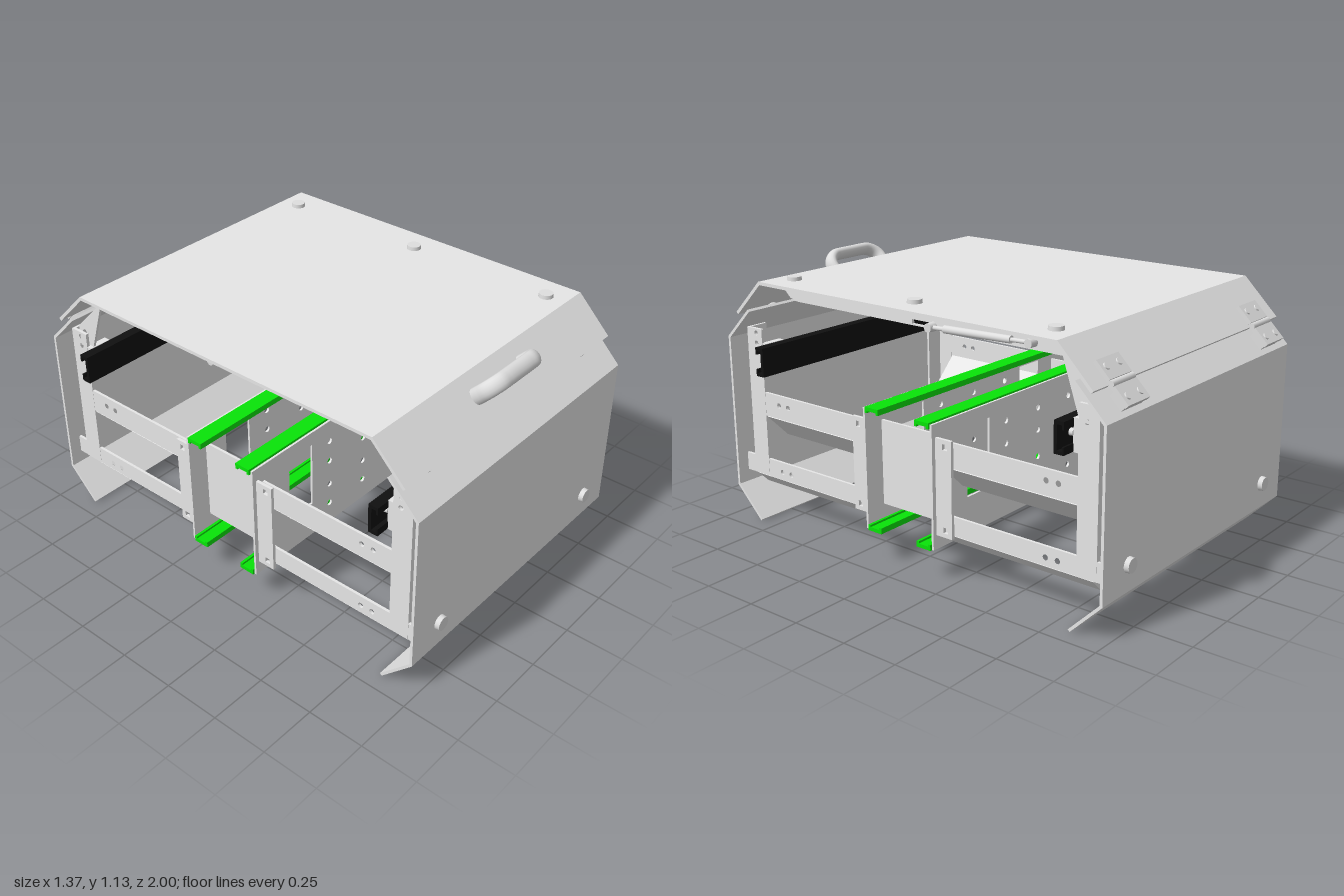
import * as THREE from 'three';

const sheet = new THREE.MeshStandardMaterial({ name: 'light grey sheet', color: 0xe6e6e6 });
const metal = new THREE.MeshStandardMaterial({ name: 'grey fittings', color: 0xdedede });
const black = new THREE.MeshStandardMaterial({ name: 'black slides', color: 0x101010 });
const green = new THREE.MeshStandardMaterial({ name: 'green rails', color: 0x08e408 });

export function createModel() {
  const model = new THREE.Group();
  model.name = 'cabinet';

  function add(geo, mat, name, parent = model) {
    const m = new THREE.Mesh(geo, mat);
    m.name = name;
    parent.add(m);
    return m;
  }
  function box(name, mat, size, pos, parent = model) {
    const m = add(new THREE.BoxGeometry(...size), mat, name, parent);
    m.position.set(...pos);
    return m;
  }
  // disc whose axis follows the given direction
  function bolt(name, r, h, pos, dir, parent = model) {
    const m = add(new THREE.CylinderGeometry(r * 0.92, r, h, 24), metal, name, parent);
    m.position.set(...pos);
    m.quaternion.setFromUnitVectors(new THREE.Vector3(0, 1, 0), new THREE.Vector3(...dir).normalize());
    return m;
  }
  const toShape = pts => new THREE.Shape(pts.map(p => new THREE.Vector2(...p)));
  const rect = (a, b, c, d) => [[a, b], [c, b], [c, d], [a, d]];
  const rectHole = (...r) => new THREE.Path(rect(...r).map(p => new THREE.Vector2(...p)));
  function circle(x, y, r) {
    const p = new THREE.Path();
    p.absarc(x, y, r, 0, Math.PI * 2, true);
    return p;
  }
  // plate in the z-y plane, centred on x
  function sidePlate(name, pts, x, t, holes = []) {
    const s = toShape(pts);
    s.holes.push(...holes);
    const g = new THREE.ExtrudeGeometry(s, { depth: t, bevelEnabled: false, curveSegments: 8 });
    g.rotateY(-Math.PI / 2).translate(x + t / 2, 0, 0);
    return add(g, sheet, name);
  }
  // outline of a bent sheet following a polyline, with mitred corners
  function ribbon(pts, t) {
    const v = pts.map(p => new THREE.Vector2(...p));
    const dir = i => v[i + 1].clone().sub(v[i]).normalize();
    const inner = v.map((p, i) => {
      const a = dir(Math.max(i - 1, 0)), b = dir(Math.min(i, v.length - 2));
      const n = new THREE.Vector2(-a.y - b.y, a.x + b.x).normalize();
      const k = t / (-n.x * a.y + n.y * a.x);
      return [p.x + n.x * k, p.y + n.y * k];
    });
    return [...pts, ...inner.reverse()];
  }

  // outer shell: bent lid, front panel and back panel
  sidePlate('lid', ribbon([[-0.92, 0.935], [-0.765, 1.09], [0.765, 1.09], [0.915, 0.94]], -0.014), 0, 1.36);
  const panel = [[0.838, 0], [0.978, 0.14], [0.978, 0.825], [0.843, 0.96]];
  sidePlate('frontPanel', ribbon(panel, 0.012), 0, 1.36);
  sidePlate('backPanel', ribbon(panel.map(([z, y]) => [-z, y]), -0.012), 0, 1.36);

  // buttons on the shell
  for (const z of [-0.675, 0, 0.675]) bolt('lidButton', 0.032, 0.022, [0.56, 1.095, z], [0, 1, 0]);
  for (const x of [-0.515, 0.515]) {
    for (const s of [1, -1]) bolt('panelButton', 0.032, 0.022, [x, 0.25, s * 0.987], [0, 0, s]);
    bolt('latchStud', 0.028, 0.02, [x, 0.934, 0.878], [0, 1, 1]);
  }

  // flat-sided carrying handle, standing square to the front slope
  const handle = new THREE.Group();
  handle.name = 'handle';
  handle.position.set(0, 1.022, 0.832);
  handle.rotation.x = Math.PI / 4;
  model.add(handle);
  const path = new THREE.CatmullRomCurve3([[-0.153, 0], [-0.153, 0.03], [-0.15, 0.06], [-0.135, 0.085], [-0.105, 0.104],
    [-0.07, 0.107], [0, 0.107], [0.07, 0.107], [0.105, 0.104], [0.135, 0.085], [0.15, 0.06], [0.153, 0.03], [0.153, 0]]
    .map(([x, y]) => new THREE.Vector3(x, y, 0)), false, 'centripetal');
  add(new THREE.TubeGeometry(path, 48, 0.024, 16), metal, 'handleBar', handle).scale.z = 1.45;
  for (const x of [-0.153, 0.153])
    add(new THREE.CylinderGeometry(0.024, 0.024, 0.02, 16), metal, 'handleFoot', handle)
      .translateX(x).translateY(-0.003).scale.z = 1.45;

  // two hinges lying on the back slope
  for (const x of [-0.515, 0.515]) {
    const h = new THREE.Group();
    h.name = 'hinge';
    h.position.set(x, 0.939, -0.926);
    h.rotation.x = -Math.PI / 4;
    model.add(h);
    for (const s of [-1, 1]) {
      box('hingeLeaf', metal, [0.14, 0.02, 0.085], [0, 0, s * 0.056], h);
      for (const k of [-0.04, 0.04]) bolt('hingeScrew', 0.015, 0.006, [k, 0.012, s * 0.064], [0, 1, 0], h);
    }
    box('hingeSpacer', metal, [0.13, 0.03, 0.07], [0, -0.02, -0.06], h);
    add(new THREE.CylinderGeometry(0.014, 0.014, 0.14, 16), metal, 'hingeBarrel', h).rotation.z = Math.PI / 2;
  }

  // side frames, mirrored left and right
  for (const sx of [-1, 1]) {
    const X = sx * 0.62, ribX = sx * 0.56, stayX = sx * 0.582;
    sidePlate('lidRib', [[-0.74, 1], [0.66, 1], [0.7, 1.012], [0.73, 1.04], [0.74, 1.078], [-0.74, 1.078]],
      ribX, 0.012, [rectHole(-0.1, 1.006, 0.01, 1.024)]);

    // lid stay
    bolt('stayCylinder', 0.016, 0.32, [stayX, 1.021, -0.33], [0, 0.018, -0.48]);
    bolt('stayRod', 0.009, 0.48, [stayX, 1.021, -0.34], [0, 0.018, -0.48]);
    for (const [y, z] of [[1.012, -0.1], [1.03, -0.58]]) bolt('stayPivot', 0.019, 0.04, [stayX, y, z], [sx, 0, 0]);

    // gusset carrying the lid hinge side
    sidePlate('hingeGusset', [[-0.735, 1.02], [-0.815, 0.785], [-0.89, 0.785], [-0.89, 0.88], [-0.76, 1.01]],
      sx * 0.6, 0.012, [circle(-0.855, 0.86, 0.012), circle(-0.855, 0.81, 0.012)]);

    for (const sz of [-1, 1]) {
      const z = k => sz * k;
      const map = pts => pts.map(([a, b]) => [z(a), b]);
      // upright post with its inner flange
      sidePlate('post', map(rect(0.825, 0.2, 0.915, 0.865)), X, 0.014,
        [circle(z(0.86), 0.845, 0.011), circle(z(0.86), 0.8, 0.011)]);
      box('postFlange', sheet, [0.09, 0.66, 0.012], [X - sx * 0.045, 0.535, z(0.909)]);
      box('slideBracket', sheet, [0.1, 0.13, 0.03], [X - sx * 0.045, 0.74, z(0.816)]);

      // upper and lower rails, each with a flange bent inwards
      const holes = y => [circle(z(0.74), y, 0.012), circle(z(0.685), y, 0.012)];
      sidePlate('upperRail', map(rect(0.18, 0.48, 0.83, 0.585)), X, 0.012, holes(0.54));
      sidePlate('lowerRail', map(rect(0.18, 0.2, 0.975, 0.28)), X, 0.012, holes(0.235));
      const up = box('upperRailFlange', sheet, [0.012, 0.156, 0.63], [X - sx * 0.055, 0.425, z(0.505)]);
      const low = box('lowerRailFlange', sheet, [0.012, 0.072, 0.71], [X - sx * 0.025, 0.176, z(0.545)]);
      up.rotation.z = low.rotation.z = -sx * Math.PI / 4;

      // end flange of the central divider
      sidePlate('dividerFlange', map(rect(0.177, 0.2, 0.262, 0.605)), sx * 0.655, 0.014,
        [0.23, 0.575].map(y => rectHole(z(0.23) - 0.012, y - 0.012, z(0.23) + 0.012, y + 0.012)));
    }
    // cross panel between the dividers
    sidePlate('crossPanel', rect(-0.172, 0.22, 0.172, 0.585), sx * 0.58, 0.012);
  }

  // parts running the full width, mirrored front and back
  for (const sz of [-1, 1]) {
    const s = toShape(rect(-0.68, 0.14, 0.68, 0.66));
    for (const x of [-0.4, 0.4]) s.holes.push(rectHole(x - 0.07, 0.3, x + 0.07, 0.6));
    for (const x of [-0.22, 0, 0.22])
      for (const y of [0.24, 0.34, 0.46, 0.56]) s.holes.push(circle(x, y, 0.014));
    const g = new THREE.ExtrudeGeometry(s, { depth: 0.01, bevelEnabled: false, curveSegments: 6 });
    add(g.translate(0, 0, sz * 0.177 - 0.005), sheet, 'divider');

    // green guide rails: a thick web with two short lips
    for (const [y, d] of [[0.658, -1], [0.144, 1]]) {
      box('guideRail', green, [1.37, 0.016, 0.072], [0, y, sz * 0.132]);
      for (const k of [0.102, 0.162]) box('guideRailLip', green, [1.37, 0.024, 0.012], [0, y + d * 0.005, sz * k]);
    }

    // black telescopic slides: a C-section open towards the posts
    box('slideWeb', black, [1.37, 0.126, 0.014], [0, 0.74, sz * 0.766]);
    for (const [y, d] of [[0.684, 1], [0.796, -1]]) {
      box('slideFlange', black, [1.37, 0.014, 0.042], [0, y, sz * 0.782]);
      box('slideLip', black, [1.37, 0.03, 0.008], [0, y + d * 0.009, sz * 0.799]);
    }
    for (const x of [-0.6, 0.6]) bolt('slideBolt', 0.015, 0.016, [x, 0.74, sz * 0.781], [0, 0, sz]);
  }
  return model;
}
